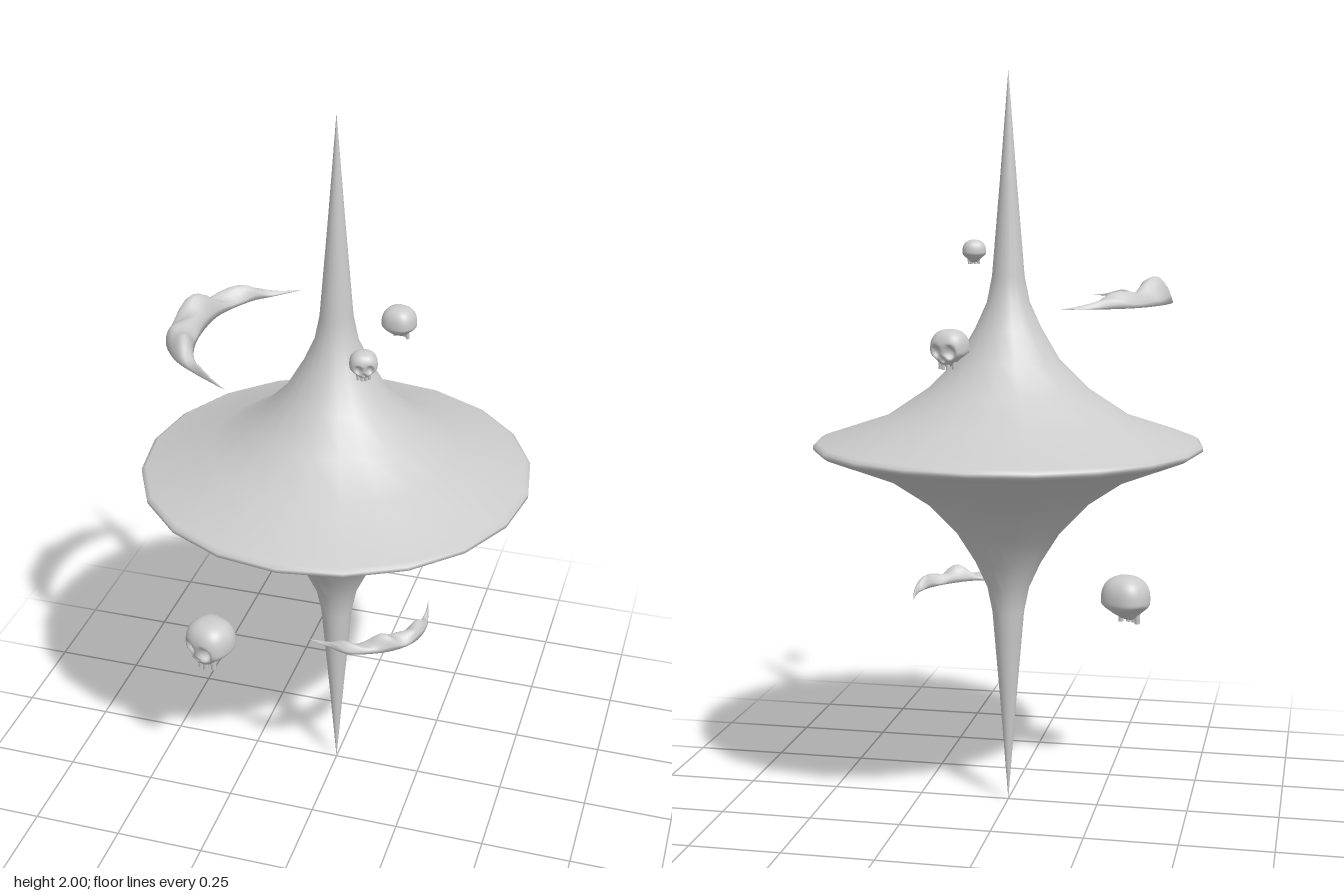
import * as THREE from 'three';
import { mergeVertices } from 'three/addons/utils/BufferGeometryUtils.js';

const grey = new THREE.MeshStandardMaterial({ color: 0xcccccc });
const greyDouble = new THREE.MeshStandardMaterial({ color: 0xcccccc, side: THREE.DoubleSide });
const v2 = ([x, y]) => new THREE.Vector2(x, y);

function mesh(name, geometry, material = grey) {
  const m = new THREE.Mesh(geometry, material);
  m.name = name;
  return m;
}

// Double spike flaring into a thin 20-sided disc
function spindleGeometry() {
  const profile = [
    [0, 0], [0.022, 0.28], [0.044, 0.54], [0.058, 0.61], [0.09, 0.68], [0.14, 0.76], [0.22, 0.845],
    [0.335, 0.922], [0.515, 0.992], [0.527, 1.0], [0.527, 1.01], [0.515, 1.018],
    [0.335, 1.078], [0.22, 1.155], [0.14, 1.235], [0.09, 1.32], [0.058, 1.39], [0.044, 1.46],
    [0.022, 1.72], [0, 2],
  ];
  return new THREE.LatheGeometry(profile.map(v2), 20);
}

// Crescent cloud: flat base, lumpy top, tapering to a point at both ends.
// Origin is at the middle of the line joining the two points; it bulges to -x.
function cloudGeometry() {
  const outer = new THREE.SplineCurve([
    [0, -0.31], [-0.09, -0.26], [-0.18, -0.21], [-0.235, -0.1], [-0.255, 0],
    [-0.24, 0.1], [-0.18, 0.19], [-0.1, 0.25], [0, 0.31]].map(v2));
  const inner = new THREE.SplineCurve([
    [0, -0.31], [-0.06, -0.25], [-0.11, -0.2], [-0.16, -0.1], [-0.17, 0],
    [-0.16, 0.1], [-0.13, 0.18], [-0.08, 0.245], [0, 0.31]].map(v2));
  const steps = 40, arc = 10, ring = arc + 2;
  const positions = [], index = [];
  for (let i = 0; i <= steps; i++) {
    const t = i / steps, o = outer.getPoint(t), n = inner.getPoint(t);
    const taper = Math.sin(Math.PI * t) ** 1.3;
    for (let k = 0; k <= arc; k++) {
      const a = (Math.PI * k) / arc;
      const p = o.clone().lerp(n, (1 - Math.cos(a)) / 2);
      const lumps = 0.052 + 0.016 * Math.cos(t * 27 + 0.6) + 0.01 * Math.sin(t * 41 + a * 2);
      positions.push(p.x, taper * lumps * Math.sin(a), p.y);
    }
    const mid = o.clone().lerp(n, 0.5);
    positions.push(mid.x, -0.004 * taper, mid.y);
  }
  for (let i = 0; i < steps; i++) {
    for (let k = 0; k < ring; k++) {
      const a = i * ring + k, b = i * ring + ((k + 1) % ring);
      index.push(a, a + ring, b, b, a + ring, b + ring);
    }
  }
  const g = new THREE.BufferGeometry();
  g.setAttribute('position', new THREE.Float32BufferAttribute(positions, 3));
  g.setIndex(index);
  g.computeVertexNormals();
  return g;
}

// Skull one unit tall facing +z: rounded box with narrowed jaw and dented sockets
function skullGeometry() {
  let g = new THREE.SphereGeometry(1, 48, 36);
  g.deleteAttribute('uv');
  g.deleteAttribute('normal');
  g = mergeVertices(g, 1e-4);
  const pos = g.attributes.position;
  const boxy = (v) => Math.sign(v) * Math.abs(v) ** 0.82;
  const dent = (x, y, cx, cy, rx, ry) =>
    Math.exp(-((((x - cx) / rx) ** 2 + ((y - cy) / ry) ** 2) ** 2));
  for (let i = 0; i < pos.count; i++) {
    const sx = pos.getX(i), sy = pos.getY(i), sz = pos.getZ(i);
    let x = 0.47 * boxy(sx), y = 0.48 * boxy(sy), z = 0.44 * boxy(sz);
    const low = THREE.MathUtils.smoothstep(-sy, 0.1, 0.75);
    const front = THREE.MathUtils.smoothstep(sz, -0.35, 0.25);
    x *= 1 - 0.38 * low;
    if (y < 0) y *= 0.68 + 0.24 * front;
    if (z < 0) z *= 1 - 0.15 * low;
    if (sz > 0) {
      z -= 0.17 * (dent(x, y, 0.19, -0.06, 0.11, 0.14) + dent(x, y, -0.19, -0.06, 0.11, 0.14));
      z -= 0.09 * dent(x, y, 0, -0.24, 0.05, 0.07);
    }
    pos.setXYZ(i, x, y, z);
  }
  g.computeVertexNormals();
  return g;
}

export function createModel() {
  const model = new THREE.Group();
  model.name = 'floatingSpindle';
  model.add(mesh('spindle', spindleGeometry()));

  // Crescent clouds
  const cloud = cloudGeometry();
  const upper = mesh('upperCloud', cloud, greyDouble);
  upper.position.set(-0.18, 1.39, 0.04);
  const lower = mesh('lowerCloud', cloud, greyDouble);
  lower.position.set(0.117, 0.575, 0.075);
  lower.rotation.y = Math.PI * 0.75;
  lower.scale.setScalar(0.62);
  model.add(upper, lower);

  // Floating skulls, each with a short row of teeth
  const head = skullGeometry();
  const tooth = new THREE.CylinderGeometry(0.06, 0.05, 0.2, 8);
  const skulls = [
    ['largeSkull', -0.295, 0.53, 0.235, 0.145, -25],
    ['smallSkull', 0.168, 1.51, 0.345, 0.072, 20],
    ['mediumSkull', 0.082, 1.295, -0.34, 0.102, 165],
  ];
  for (const [name, x, y, z, size, yaw] of skulls) {
    const skull = new THREE.Group();
    skull.name = name;
    skull.add(mesh('head', head));
    for (let i = 0; i < 4; i++) {
      const u = (i - 1.5) / 1.5;
      const t = mesh('tooth', tooth);
      t.position.set(0.19 * u, -0.4, 0.24 - 0.1 * u * u);
      skull.add(t);
    }
    skull.position.set(x, y, z);
    skull.rotation.y = THREE.MathUtils.degToRad(yaw);
    skull.scale.setScalar(size);
    model.add(skull);
  }
  return model;
}
